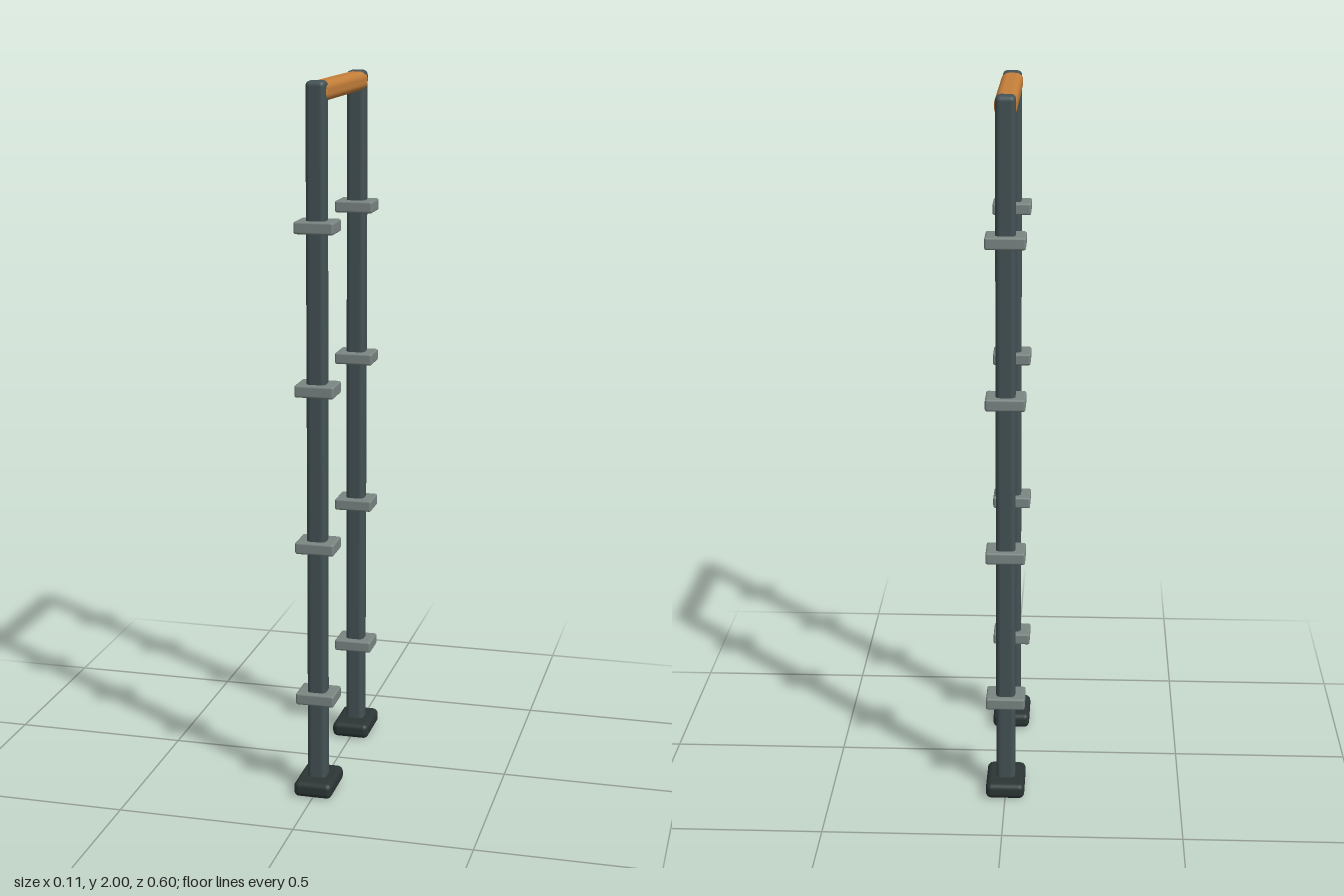
import * as THREE from 'three';
import { RoundedBoxGeometry } from 'three/addons/geometries/RoundedBoxGeometry.js';

const paint = (color) => new THREE.MeshStandardMaterial({ color });

// Rounded box centred on x = 0, between two heights
function block(name, width, depth, y0, y1, z, radius, material) {
  const geometry = new RoundedBoxGeometry(width, y1 - y0, depth, 3, radius);
  const mesh = new THREE.Mesh(geometry, material);
  mesh.name = name;
  mesh.position.set(0, (y0 + y1) / 2, z);
  return mesh;
}

export function createModel() {
  const model = new THREE.Group();
  model.name = 'uprightFrame';
  const postPaint = paint(0x445255);
  const footPaint = paint(0x2c3535);
  const collarPaint = paint(0x7a8683);
  const barPaint = paint(0xc47f3a);

  // Front and back uprights, each with a foot and four collars
  for (const side of [1, -1]) {
    const upright = new THREE.Group();
    upright.name = side > 0 ? 'frontUpright' : 'backUpright';
    upright.position.z = side * 0.225;
    upright.add(block('post', 0.054, 0.052, 0.02, 2, 0, 0.014, postPaint));
    upright.add(block('foot', 0.11, 0.155, 0, 0.045, -side * 0.0025, 0.016, footPaint));
    for (let i = 0; i < 4; i++) {
      const y = 0.284 + i * 0.444;
      upright.add(block('collar', 0.11, 0.09, y - 0.017, y + 0.017, -side * 0.002, 0.006, collarPaint));
    }
    model.add(upright);
  }

  // Crossbar joining the tops of the uprights
  model.add(block('crossbar', 0.06, 0.48, 1.944, 1.997, 0, 0.02, barPaint));
  return model;
}
